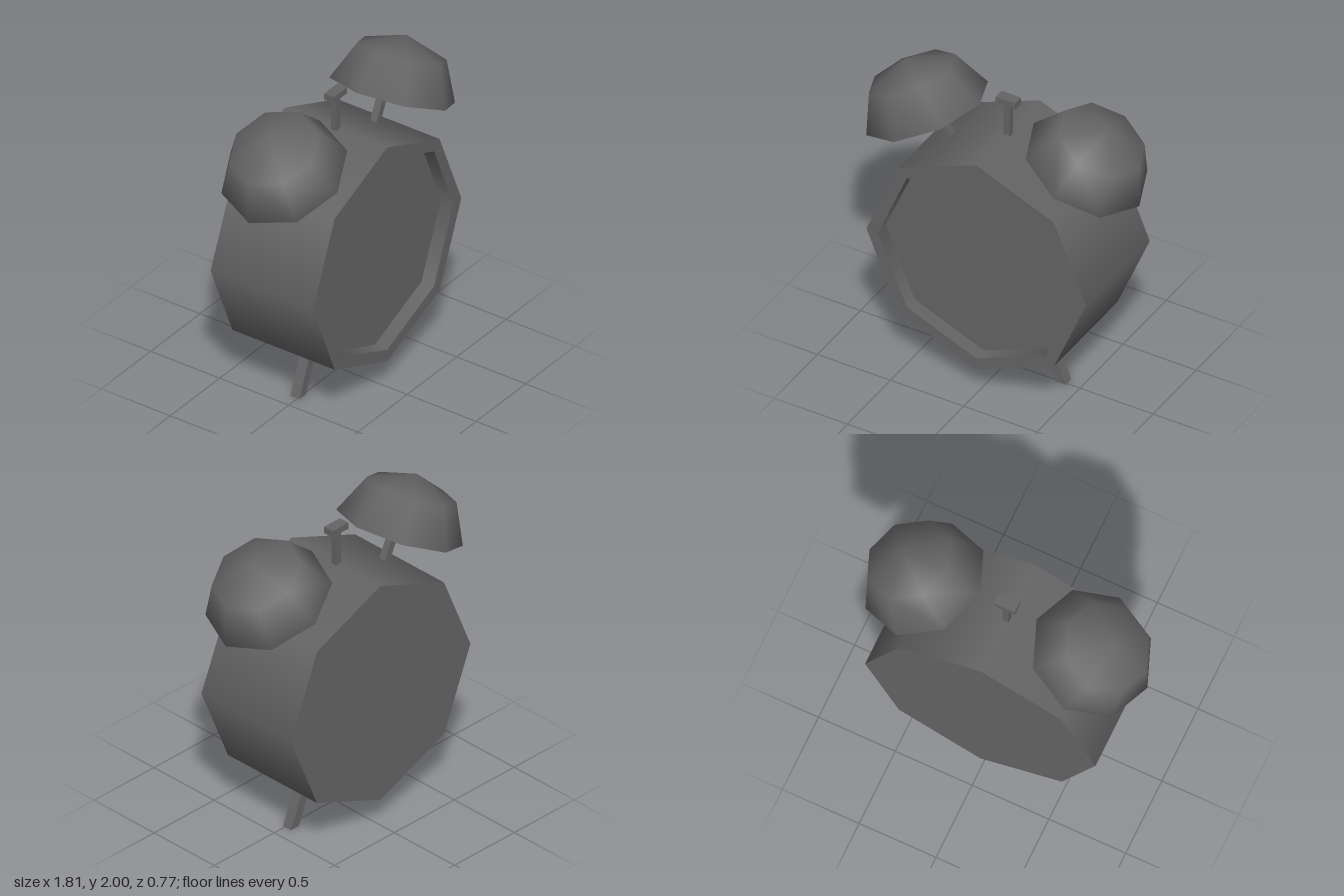
import * as THREE from 'three';

const darkGrey = new THREE.MeshStandardMaterial({ color: 0x646464, side: THREE.DoubleSide });

const SIDES = 8, CENTRE_Y = 0.929, MID_Z = -0.018;
const FRONT = 0.355, BACK = -0.386, RECESS = 0.09;
const R_OUT = 0.75, R_IN = 0.67;

function part(name, geometry, x = 0, y = 0, z = 0) {
  const mesh = new THREE.Mesh(geometry, darkGrey);
  mesh.name = name;
  mesh.position.set(x, y, z);
  return mesh;
}

// Open octagonal wall along z, with a corner pointing up
function wall(radius, z0, z1) {
  return new THREE.CylinderGeometry(radius, radius, z1 - z0, SIDES, 1, true)
    .rotateX(Math.PI / 2).translate(0, 0, (z0 + z1) / 2);
}

function createBody() {
  const body = new THREE.Group();
  body.name = 'body';
  body.position.y = CENTRE_Y;
  const up = Math.PI / 2;
  body.add(
    part('case', wall(R_OUT, BACK, FRONT)),
    part('rim', new THREE.RingGeometry(R_IN, R_OUT, SIDES, 1, up), 0, 0, FRONT),
    part('rimInside', wall(R_IN, FRONT - RECESS, FRONT)),
    part('dial', new THREE.CircleGeometry(R_IN, SIDES, up), 0, 0, FRONT - RECESS),
    part('backPlate', new THREE.CircleGeometry(R_OUT, SIDES, up).rotateY(Math.PI), 0, 0, BACK)
  );
  return body;
}

// Open low-poly dome with its stem, tilted outwards
function createBell(side) {
  const bell = new THREE.Group();
  bell.name = side > 0 ? 'leftBell' : 'rightBell';
  bell.position.set(side * 0.545, 1.662, 0);
  bell.rotation.z = -side * THREE.MathUtils.degToRad(25);
  const dome = new THREE.SphereGeometry(1, SIDES, 2, 0, Math.PI * 2, 0, Math.PI / 2).scale(0.398, 0.343, 0.386);
  const stem = new THREE.BoxGeometry(0.046, 0.53, 0.046);
  bell.add(part('dome', dome), part('bellStem', stem, -side * 0.066, 0, MID_Z));
  return bell;
}

// Leg slanted by shearing, so that its foot stays flat on the ground
function createLeg(side) {
  const h = 0.34;
  const leg = new THREE.BoxGeometry(0.067, h, 0.065).translate(0, h / 2, 0);
  const p = leg.attributes.position;
  for (let i = 0; i < p.count; i++) p.setX(i, p.getX(i) + side * (0.378 - 0.41 * p.getY(i)));
  leg.computeVertexNormals();
  return part(side > 0 ? 'leftLeg' : 'rightLeg', leg, 0, 0, MID_Z);
}

export function createModel() {
  const clock = new THREE.Group();
  clock.name = 'alarmClock';
  clock.add(createBody());
  for (const side of [-1, 1]) clock.add(createBell(side), createLeg(side));

  // Push button on top
  clock.add(
    part('buttonPost', new THREE.BoxGeometry(0.04, 0.25, 0.04), 0, 1.775, MID_Z),
    part('buttonCap', new THREE.BoxGeometry(0.135, 0.042, 0.07), 0, 1.919, MID_Z)
  );
  return clock;
}
